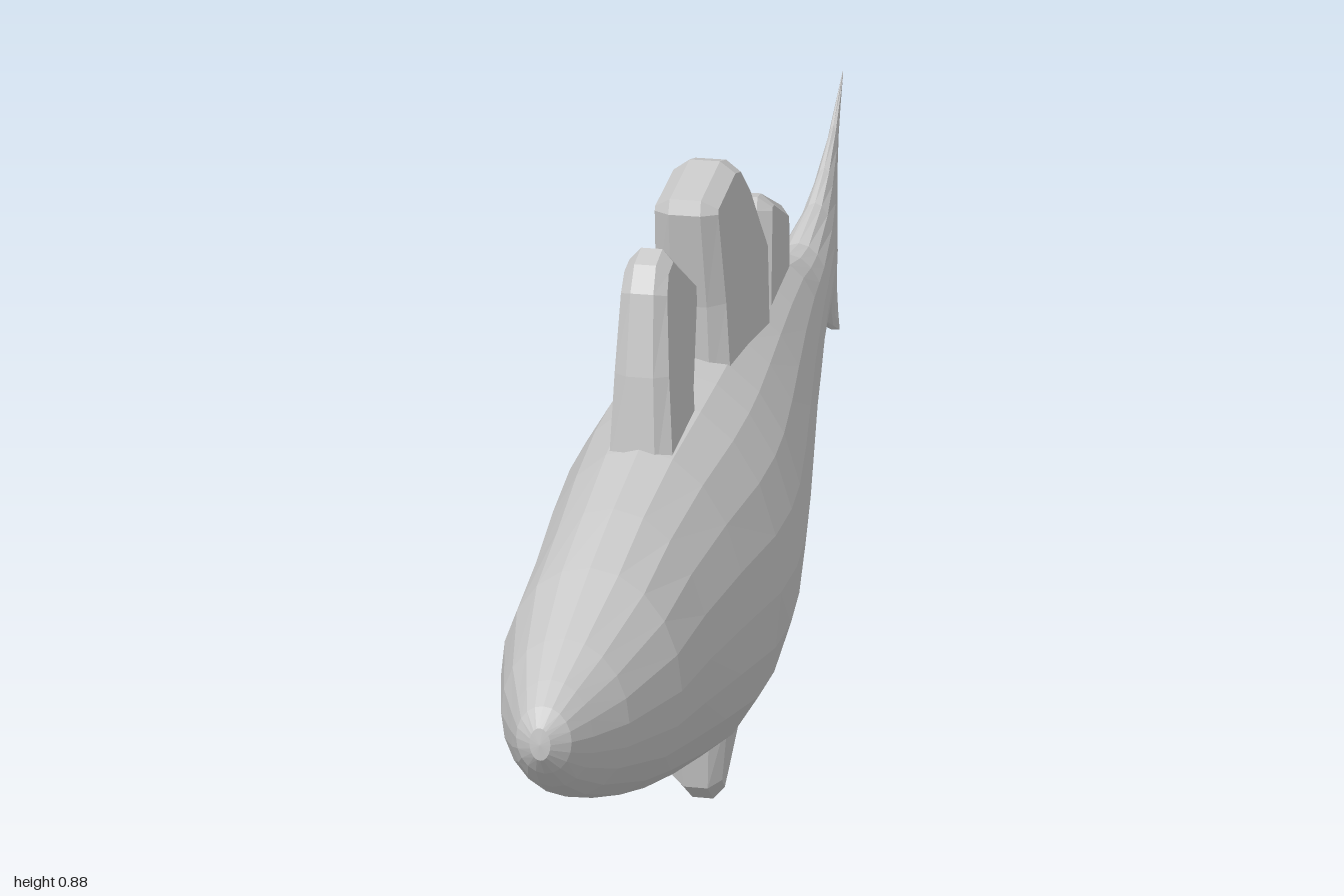
import * as THREE from 'three';

const material = new THREE.MeshStandardMaterial({ color: 0xcccccc, flatShading: true, side: THREE.DoubleSide });
const SIDES = 20;

// Body stations: z, top y, bottom y, half width, backward sweep of the outer edge (tail fork)
const STATIONS = [
  [1, 0.53, 0.49, 0.012, 0], [0.98, 0.548, 0.465, 0.032, 0], [0.94, 0.563, 0.43, 0.048, 0],
  [0.87, 0.583, 0.385, 0.075, 0], [0.73, 0.612, 0.318, 0.108, 0], [0.6, 0.633, 0.265, 0.116, 0],
  [0.45, 0.65, 0.213, 0.132, 0], [0.3, 0.655, 0.167, 0.147, 0], [0.2, 0.654, 0.155, 0.149, 0],
  [0.12, 0.65, 0.167, 0.145, 0], [0, 0.638, 0.2, 0.131, 0], [-0.14, 0.62, 0.237, 0.111, 0],
  [-0.3, 0.597, 0.28, 0.088, 0], [-0.45, 0.573, 0.325, 0.069, 0], [-0.56, 0.542, 0.357, 0.054, 0],
  [-0.64, 0.53, 0.37, 0.045, 0], [-0.77, 0.545, 0.362, 0.031, 0], [-0.83, 0.572, 0.335, 0.023, 0.015],
  [-0.88, 0.612, 0.302, 0.014, 0.04], [-0.932, 0.67, 0.275, 0.004, 0.066],
];

// Lofted body and forked tail in one skin, closed at both ends
function bodyGeometry() {
  const pos = [], index = [];
  for (const [z, top, bottom, w, sweep] of STATIONS) {
    for (let j = 0; j < SIDES; j++) {
      const a = (j / SIDES) * Math.PI * 2, s = Math.sin(a);
      const back = sweep * Math.pow(Math.abs(s), 3) * (s < 0 ? 0.82 : 1);
      pos.push(w * Math.cos(a), (top + bottom) / 2 + s * (top - bottom) / 2, z - back);
    }
  }
  const last = (STATIONS.length - 1) * SIDES, nose = pos.length / 3;
  pos.push(0, 0.51, 1.002);
  for (let j = 0; j < SIDES; j++) {
    const k = (j + 1) % SIDES;
    index.push(nose, j, k);
    for (let r = 0; r < last; r += SIDES) {
      index.push(r + j, r + SIDES + j, r + k, r + k, r + SIDES + j, r + SIDES + k);
    }
  }
  // Trailing edge strip joins the left and right sides at equal heights
  const h = SIDES / 2;
  for (let j = -h / 2; j < h / 2; j++) {
    const p = (i) => last + (i + SIDES) % SIDES;
    index.push(p(j), p(h - j), p(j + 1), p(j + 1), p(h - j), p(h - j - 1));
  }
  const g = new THREE.BufferGeometry();
  g.setAttribute('position', new THREE.Float32BufferAttribute(pos, 3));
  g.setIndex(index);
  g.computeVertexNormals();
  return g;
}

// Chamfered slab fin; outline in (z, y), halfWidth(z, y) sets its taper
function finGeometry(outline, halfWidth) {
  const shape = new THREE.Shape(outline.map(([z, y]) => new THREE.Vector2(z, y)));
  const g = new THREE.ExtrudeGeometry(shape, {
    depth: 1, bevelEnabled: true, bevelThickness: 0.5, bevelSize: 0.014, bevelOffset: -0.014, bevelSegments: 1,
  });
  g.translate(0, 0, -0.5).rotateY(-Math.PI / 2);
  const p = g.attributes.position;
  for (let i = 0; i < p.count; i++) {
    p.setX(i, p.getX(i) * halfWidth(p.getZ(i), p.getY(i)));
  }
  g.computeVertexNormals();
  return g;
}

const lerp = THREE.MathUtils.mapLinear;
const FINS = {
  frontDorsalFin: {
    outline: [[0.455, 0.61], [0.446, 0.74], [0.43, 0.84], [0.41, 0.87], [0.37, 0.877], [0.235, 0.795],
      [0.238, 0.765], [0.285, 0.67], [0.29, 0.61]],
    width: (z, y) => lerp(y, 0.63, 0.877, 0.039, 0.026),
  },
  middleDorsalFin: {
    outline: [[0.13, 0.6], [0.142, 0.72], [0.172, 0.85], [0.165, 0.868], [0.04, 0.878], [0, 0.867],
      [-0.06, 0.82], [-0.12, 0.755], [-0.168, 0.705], [-0.16, 0.58]],
    width: (z, y) => lerp(y, 0.63, 0.877, 0.048, 0.039),
  },
  rearDorsalFin: {
    outline: [[-0.2, 0.56], [-0.213, 0.725], [-0.22, 0.742], [-0.25, 0.737], [-0.44, 0.655],
      [-0.457, 0.625], [-0.455, 0.54]],
    width: (z) => lerp(z, -0.2, -0.46, 0.04, 0.021),
  },
  pelvicFin: {
    outline: [[0.14, 0.22], [0.128, 0.15], [0.103, 0.04], [0.055, 0.003], [0.03, 0.03], [-0.02, 0.095],
      [-0.065, 0.155], [-0.095, 0.26]],
    width: (z, y) => lerp(y, 0.16, 0, 0.046, 0.027),
  },
  analFin: {
    outline: [[-0.2, 0.3], [-0.24, 0.25], [-0.28, 0.185], [-0.345, 0.122], [-0.385, 0.145], [-0.42, 0.225],
      [-0.425, 0.35]],
    width: (z, y) => lerp(y, 0.3, 0.12, 0.037, 0.023),
  },
};

export function createModel() {
  const fish = new THREE.Group();
  fish.name = 'fish';
  const add = (name, geometry) => {
    const mesh = new THREE.Mesh(geometry, material);
    mesh.name = name;
    fish.add(mesh);
  };
  add('bodyAndTail', bodyGeometry());
  for (const [name, { outline, width }] of Object.entries(FINS)) add(name, finGeometry(outline, width));
  return fish;
}
